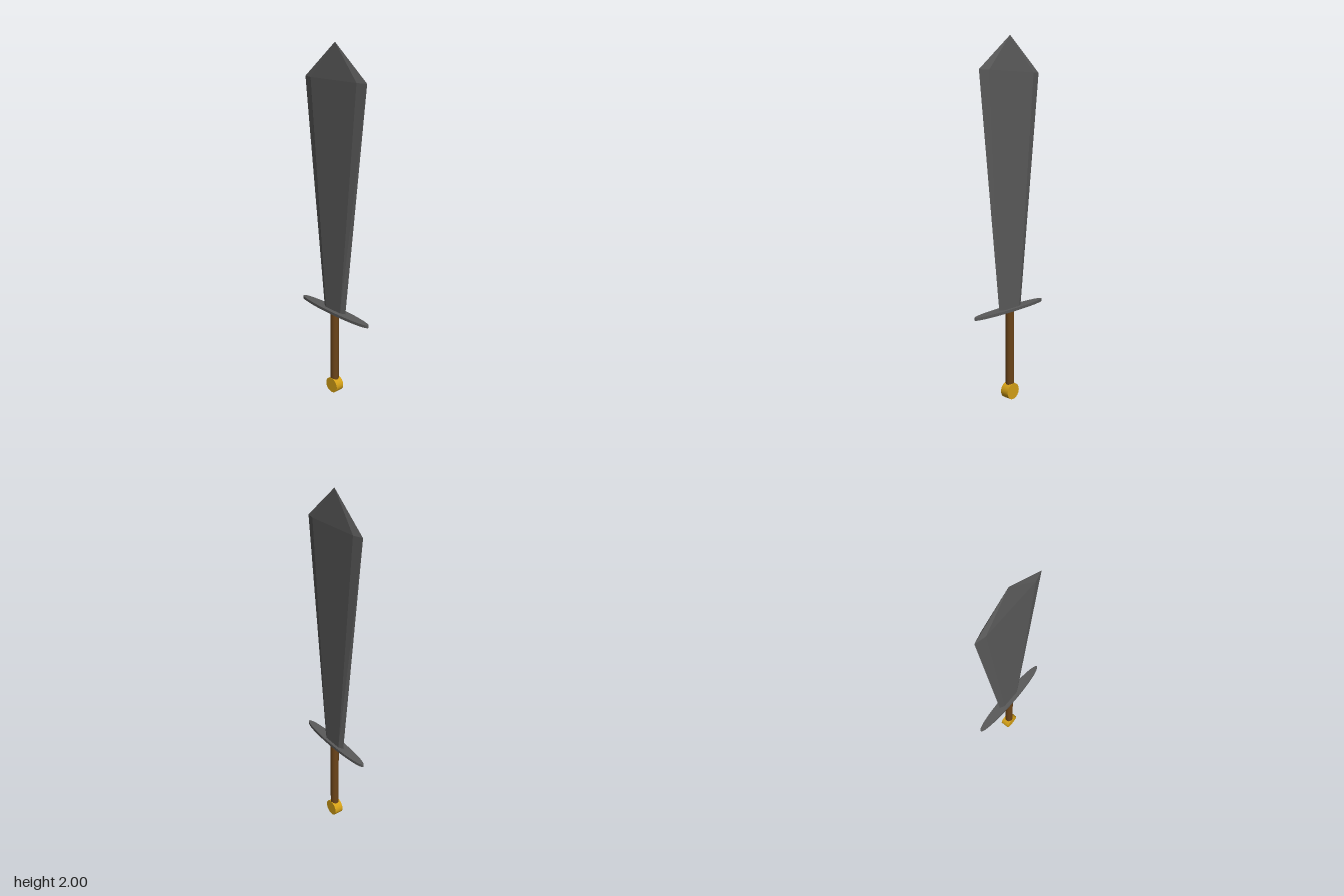
import * as THREE from 'three';

const steel = new THREE.MeshStandardMaterial({ color: 0x5a5a5a });
const bladeSteel = new THREE.MeshStandardMaterial({ color: 0x5a5a5a, flatShading: true });
const wood = new THREE.MeshStandardMaterial({ color: 0x6b4419 });
const gold = new THREE.MeshStandardMaterial({ color: 0xd4a017 });

function addPart(group, name, geometry, material, x, y) {
  const mesh = new THREE.Mesh(geometry, material);
  mesh.name = name;
  mesh.position.set(x, y, 0);
  group.add(mesh);
  return mesh;
}

// Six-sided section: flat faces at +-t, bevels running out to the edges at +-w
const section = ({ y, w, b, t }) =>
  [[0, w], [t, b], [t, -b], [0, -w], [-t, -b], [-t, b]].map(([x, z]) => [x, y, z]);

function bladeGeometry() {
  const low = section({ y: 0.52, w: 0.085, b: 0.058, t: 0.015 });
  const high = section({ y: 1.815, w: 0.228, b: 0.17, t: 0.015 });
  const base = [0, 0.52, 0], tip = [0, 2, 0];
  const corners = [];
  for (let i = 0; i < 6; i++) {
    const j = (i + 1) % 6;
    corners.push(low[i], low[j], high[j], low[i], high[j], high[i]); // side
    corners.push(high[i], high[j], tip); // point
    corners.push(low[j], low[i], base); // underside
  }
  const geometry = new THREE.BufferGeometry();
  geometry.setAttribute('position', new THREE.Float32BufferAttribute(corners.flat(), 3));
  geometry.computeVertexNormals();
  return geometry;
}

export function createModel() {
  const sword = new THREE.Group();
  sword.name = 'sword';

  addPart(sword, 'blade', bladeGeometry(), bladeSteel, 0.003, 0);

  // Thin oval guard
  const guard = new THREE.CylinderGeometry(1, 1, 0.016, 64).scale(0.034, 1, 0.268);
  addPart(sword, 'guard', guard, steel, 0, 0.523);

  // Round grip, reaching into the pommel
  addPart(sword, 'grip', new THREE.CylinderGeometry(0.024, 0.024, 0.45, 32), wood, 0.002, 0.292);

  // Disc pommel lying across the grip
  const pommel = new THREE.CylinderGeometry(0.046, 0.046, 0.052, 32).rotateZ(Math.PI / 2);
  addPart(sword, 'pommel', pommel, gold, 0.002, 0.046);

  return sword;
}
